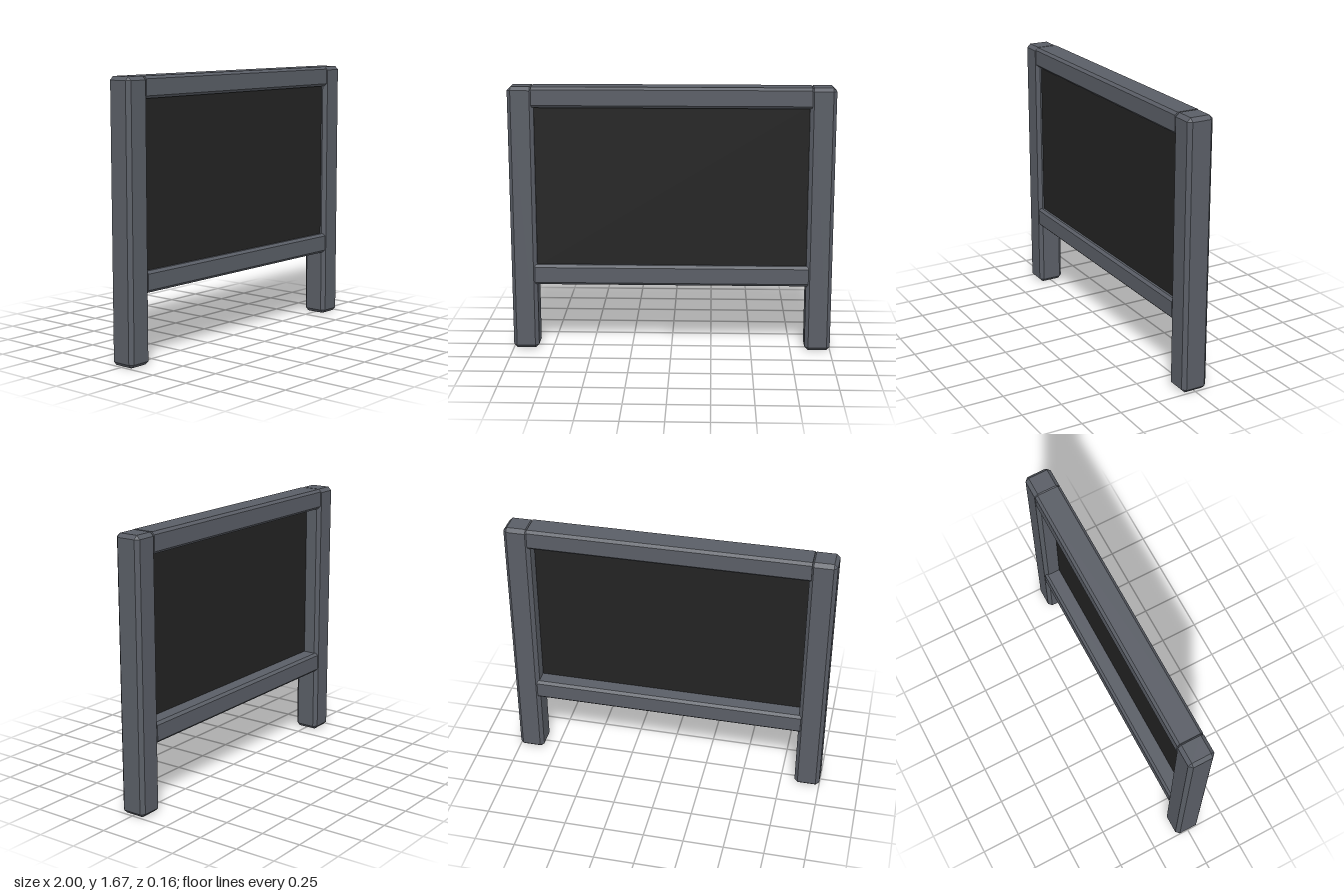
import * as THREE from 'three';
import { ConvexGeometry } from 'three/addons/geometries/ConvexGeometry.js';

// Box with every edge chamfered by c; cx chamfers the ends along x
function chamferBox(w, h, d, c, cx = c) {
  const x = w / 2, y = h / 2, z = d / 2;
  const points = [];
  for (const i of [-1, 1]) for (const j of [-1, 1]) for (const k of [-1, 1]) {
    if (cx > 0) points.push(new THREE.Vector3(i * (x - cx), j * (y - c), k * z),
      new THREE.Vector3(i * (x - cx), j * y, k * (z - c)),
      new THREE.Vector3(i * x, j * (y - c), k * (z - c)));
    else points.push(new THREE.Vector3(i * x, j * (y - c), k * z),
      new THREE.Vector3(i * x, j * y, k * (z - c)));
  }
  return new ConvexGeometry(points);
}

export function createModel() {
  const model = new THREE.Group();
  model.name = 'board';
  const frame = new THREE.MeshStandardMaterial({ color: 0x5a5e66 });
  frame.name = 'slate grey frame';
  const slate = new THREE.MeshStandardMaterial({ color: 0x232323 });
  slate.name = 'black board';

  const add = (name, geometry, material, x, y, z) => {
    const mesh = new THREE.Mesh(geometry, material);
    mesh.name = name;
    mesh.position.set(x, y, z);
    model.add(mesh);
  };

  // Posts
  const post = chamferBox(0.16, 1.666, 0.164, 0.022);
  add('leftPost', post, frame, 0.92, 0.833, 0);
  add('rightPost', post, frame, -0.92, 0.833, 0);

  // Rails, their square ends let into the posts
  const rail = chamferBox(1.706, 0.128, 0.162, 0.016, 0);
  add('topRail', rail, frame, 0, 1.602, 0);
  add('bottomRail', rail, frame, 0, 0.485, 0);

  // Writing panel, set towards the front of the frame
  add('panel', new THREE.BoxGeometry(1.7, 1.03, 0.033), slate, 0, 1.044, 0.034);

  return model;
}
